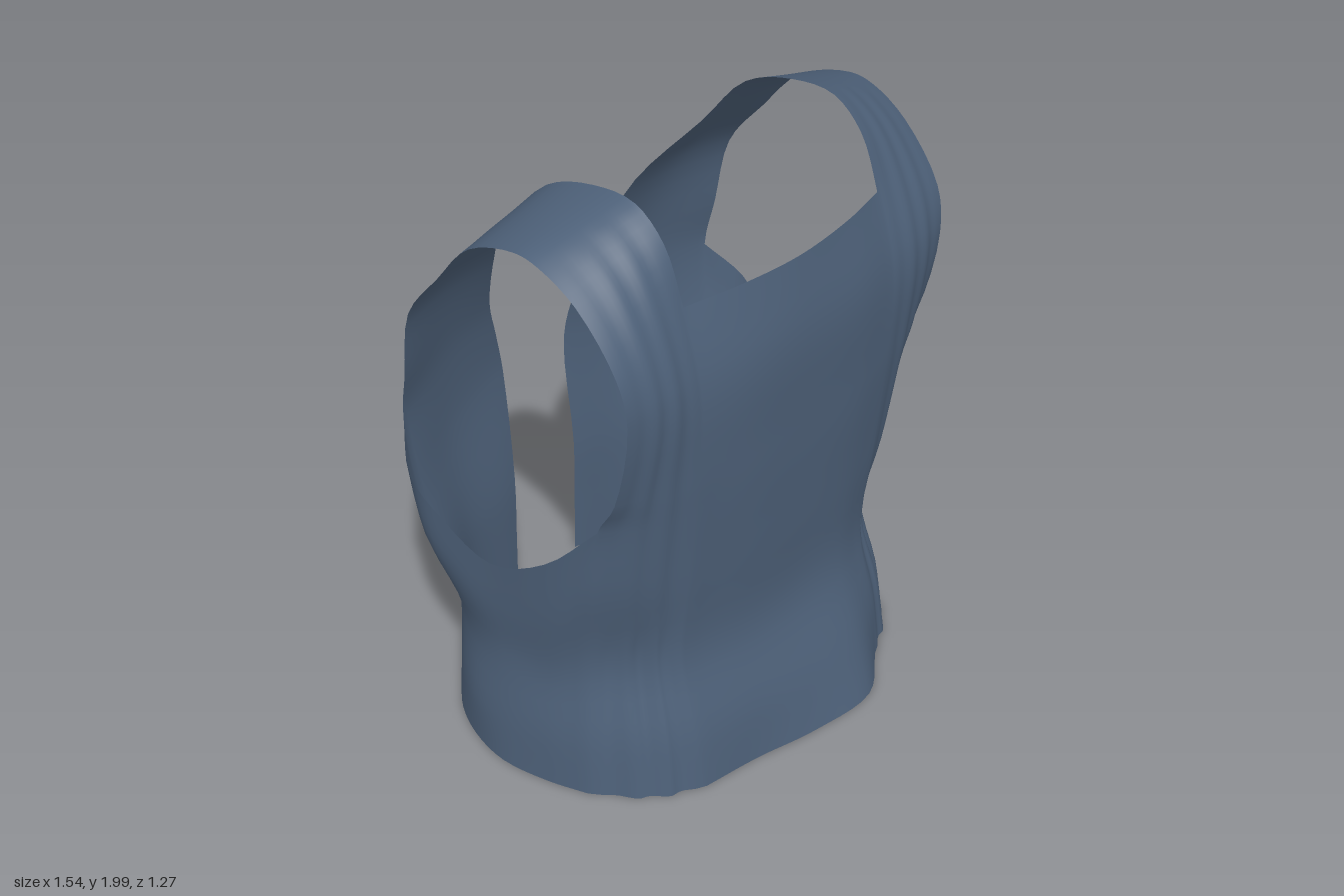
import * as THREE from 'three';
import { mergeVertices, mergeGeometries } from 'three/addons/utils/BufferGeometryUtils.js';

const STEPS = 4; // samples between neighbouring control points

// Smooth curve through points, sampled evenly between control points
function sample(points, steps) {
  const curve = new THREE.CatmullRomCurve3(points);
  const count = (points.length - 1) * steps;
  return Array.from({ length: count + 1 }, (_, i) => curve.getPoint(i / count));
}
const column = (pts) => sample(pts.map((p) => new THREE.Vector3(...p)), STEPS);

// Rows of cloth points spanning a set of columns
function loft(columns, steps) {
  return columns[0].map((_, j) => sample(columns.map((c) => c[j]), steps));
}

const mirrorRows = (rows) =>
  rows.map((row) => row.map((p) => new THREE.Vector3(-p.x, p.y, p.z)).reverse());

function patch(rows) {
  const w = rows[0].length;
  const index = [];
  for (let j = 0; j < rows.length - 1; j++) {
    for (let i = 0; i < w - 1; i++) {
      const a = j * w + i;
      index.push(a, a + 1, a + w + 1, a, a + w + 1, a + w);
    }
  }
  const geometry = new THREE.BufferGeometry().setFromPoints(rows.flat());
  geometry.setIndex(index);
  return geometry;
}

// Share normals between patches so that the seams stay smooth
function smoothTogether(geometries) {
  const key = (a, i) => [a.getX(i), a.getY(i), a.getZ(i)].map((n) => Math.round(n * 2000)).join();
  const whole = mergeVertices(mergeGeometries(geometries), 5e-4);
  whole.computeVertexNormals();
  const found = new Map();
  const { position, normal } = whole.attributes;
  for (let i = 0; i < position.count; i++) {
    found.set(key(position, i), [normal.getX(i), normal.getY(i), normal.getZ(i)]);
  }
  for (const g of geometries) {
    g.computeVertexNormals();
    const p = g.attributes.position;
    for (let i = 0; i < p.count; i++) {
      const n = found.get(key(p, i));
      if (n) g.attributes.normal.setXYZ(i, ...n);
    }
  }
}

export function createModel() {
  const vest = new THREE.Group();
  vest.name = 'vest';
  const cloth = new THREE.MeshStandardMaterial({ color: 0x4d6078, side: THREE.DoubleSide });
  cloth.name = 'slate blue cloth';

  // Strap lines run from the front hem, over the shoulder, to the back hem
  const inner = column([
    [0.42, 0.01, 0.52], [0.42, 0.22, 0.49], [0.42, 0.48, 0.425], [0.42, 0.8, 0.455],
    [0.42, 1.07, 0.48], [0.42, 1.22, 0.49], [0.42, 1.5, 0.485], [0.42, 1.74, 0.415],
    [0.42, 1.91, 0.345], [0.42, 1.995, 0.24], [0.42, 1.99, 0.08], [0.42, 1.92, -0.1],
    [0.42, 1.72, -0.277], [0.307, 1.49, -0.455], [0.235, 1.23, -0.57], [0.18, 1.07, -0.61],
    [0.14, 0.9, -0.63], [0.14, 0.48, -0.6], [0.14, 0.22, -0.605], [0.14, 0.01, -0.61],
  ]);
  const middle = column([
    [0.57, 0.01, 0.43], [0.555, 0.22, 0.4], [0.525, 0.48, 0.34], [0.56, 0.8, 0.39],
    [0.57, 1.07, 0.43], [0.57, 1.21, 0.455], [0.56, 1.5, 0.485], [0.56, 1.7, 0.43],
    [0.56, 1.87, 0.32], [0.56, 1.945, 0.2], [0.56, 1.945, 0.07], [0.56, 1.88, -0.1],
    [0.56, 1.71, -0.27], [0.51, 1.5, -0.44], [0.46, 1.24, -0.535], [0.43, 1.07, -0.57],
    [0.42, 0.83, -0.58], [0.4, 0.46, -0.54], [0.4, 0.22, -0.54], [0.4, 0.01, -0.55],
  ]);
  const outer = column([
    [0.695, 0.01, 0.27], [0.685, 0.22, 0.25], [0.65, 0.48, 0.23], [0.685, 0.8, 0.28],
    [0.685, 1.07, 0.33], [0.685, 1.2, 0.4], [0.69, 1.5, 0.46], [0.7, 1.65, 0.43],
    [0.705, 1.82, 0.29], [0.71, 1.89, 0.16], [0.71, 1.9, 0.07], [0.705, 1.83, -0.12],
    [0.7, 1.67, -0.265], [0.7, 1.49, -0.405], [0.69, 1.25, -0.455], [0.68, 1.07, -0.49],
    [0.665, 0.78, -0.455], [0.61, 0.46, -0.375], [0.605, 0.22, -0.38], [0.605, 0.01, -0.4],
  ]);
  const strap = loft([inner, middle, outer], 10);

  // Soft folds along the front of each strap, deepest near the hem
  for (const row of strap) {
    row.forEach((p, i) => {
      const v = i / (row.length - 1);
      if (p.z < 0.2) return;
      const depth = p.y < 0.6 ? 0.009 : 0.004;
      p.z += depth * Math.sin(v * Math.PI * 7) * Math.sin(v * Math.PI);
    });
  }

  // Side panel under the armhole, joined to the strap's outer edge
  const span = 4 * STEPS + 1;
  const side = loft([
    outer.slice(0, span),
    column([[0.74, 0.01, 0.14], [0.73, 0.2, 0.13], [0.695, 0.42, 0.12], [0.715, 0.66, 0.14], [0.725, 0.88, 0.15]]),
    column([[0.77, 0.01, -0.03], [0.755, 0.18, -0.04], [0.722, 0.42, -0.05], [0.735, 0.6, -0.07], [0.74, 0.77, -0.07]]),
    column([[0.745, 0.01, -0.18], [0.74, 0.19, -0.18], [0.71, 0.42, -0.18], [0.745, 0.66, -0.24], [0.75, 0.84, -0.26]]),
    column([[0.69, 0.01, -0.3], [0.685, 0.2, -0.29], [0.67, 0.44, -0.29], [0.735, 0.72, -0.365], [0.76, 0.95, -0.385]]),
    outer.slice(-span).reverse(),
  ], 4);

  // Front panel up to the square neckline, with a slightly uneven hem
  const heights = [0.01, 0.22, 0.48, 0.8, 1.07, 1.22, 1.5, 1.74];
  const frontColumn = (x, depths) => column(heights.map((y, i) => [x, y, depths[i]]));
  const leftEdge = inner.slice(0, 7 * STEPS + 1);
  const rightEdge = leftEdge.map((p) => new THREE.Vector3(-p.x, p.y, p.z));
  const front = loft([
    rightEdge,
    frontColumn(-0.22, [0.555, 0.53, 0.465, 0.485, 0.505, 0.51, 0.512, 0.455]),
    frontColumn(0, [0.61, 0.56, 0.48, 0.495, 0.51, 0.515, 0.52, 0.475]),
    frontColumn(0.25, [0.63, 0.56, 0.475, 0.485, 0.505, 0.51, 0.512, 0.452]),
    leftEdge,
  ], 5);

  const parts = {
    frontPanel: front,
    leftStrap: strap,
    rightStrap: mirrorRows(strap),
    leftSide: side,
    rightSide: mirrorRows(side),
  };
  const geometries = Object.values(parts).map(patch);
  smoothTogether(geometries);
  Object.keys(parts).forEach((name, i) => {
    const mesh = new THREE.Mesh(geometries[i], cloth);
    mesh.name = name;
    vest.add(mesh);
  });
  return vest;
}
